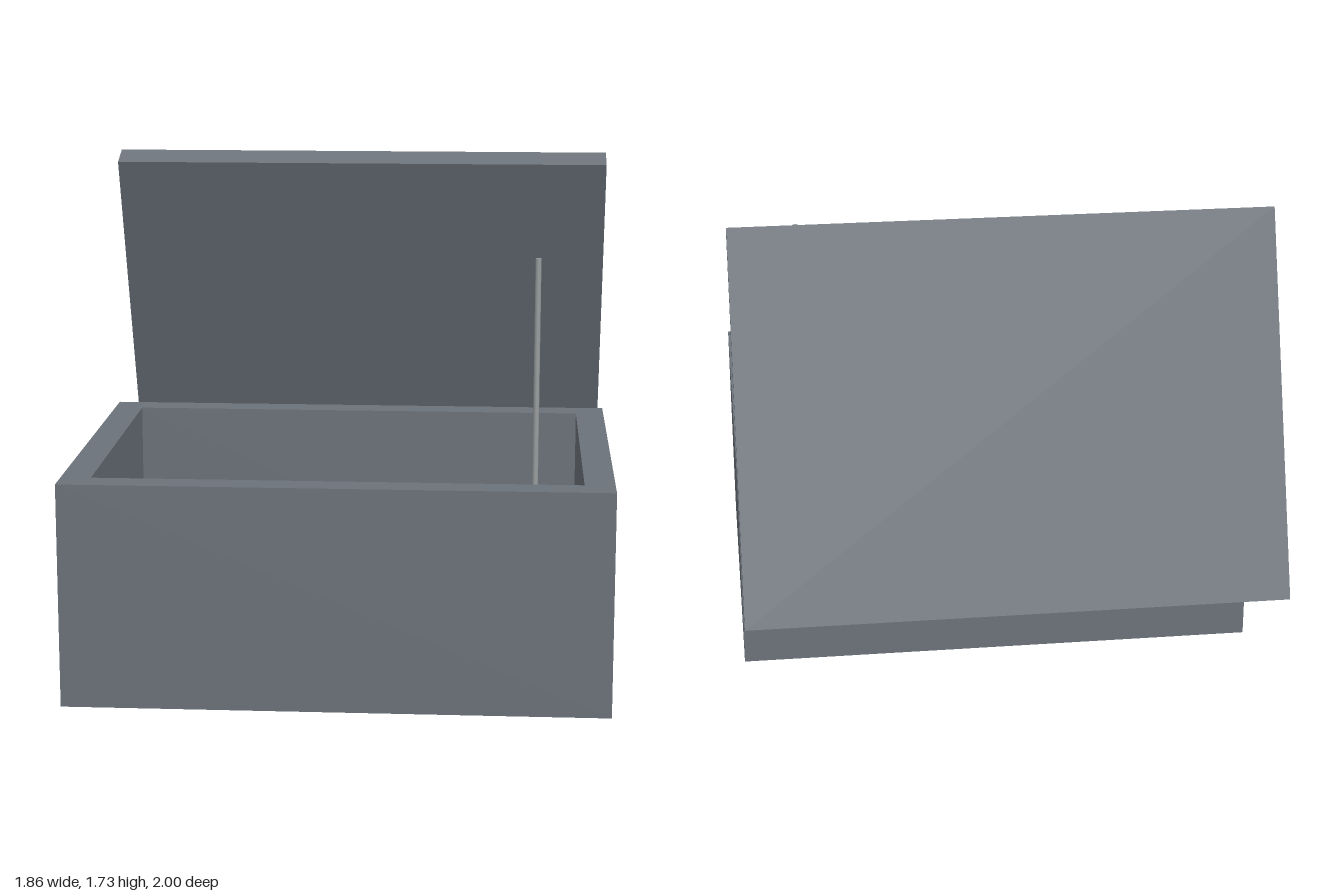
import * as THREE from 'three';

const paint = (color) => {
  const m = new THREE.MeshStandardMaterial();
  m.color.set(color);
  return m;
};

// Axis-aligned block given by its limits on each axis
function block(name, [x0, x1], [y0, y1], [z0, z1], material) {
  const mesh = new THREE.Mesh(new THREE.BoxGeometry(x1 - x0, y1 - y0, z1 - z0), material);
  mesh.position.set((x0 + x1) / 2, (y0 + y1) / 2, (z0 + z1) / 2);
  mesh.name = name;
  return mesh;
}

function rectangle(PathType, w, d) {
  return new PathType([[-w, -d], [w, -d], [w, d], [-w, d]].map(([x, y]) => new THREE.Vector2(x, y)));
}

export function createModel() {
  const model = new THREE.Group();
  model.name = 'openStorageBox';
  const slate = paint(0x6b727a);
  const W = 0.93, D = 0.672, H = 0.775, T = 0.103, Z = 0.328;

  // Crate: a rectangular ring of walls around a floor panel
  const crate = new THREE.Group();
  crate.name = 'crate';
  const ring = rectangle(THREE.Shape, W, D);
  ring.holes.push(rectangle(THREE.Path, W - T, D - T));
  const walls = new THREE.Mesh(
    new THREE.ExtrudeGeometry(ring, { depth: H, bevelEnabled: false }).rotateX(-Math.PI / 2), slate);
  walls.name = 'walls';
  walls.position.z = Z;
  crate.add(walls, block('floor', [-W + T, W - T], [0, T], [Z - D + T, Z + D - T], slate));
  model.add(crate);

  // Lid: leaning panel behind the crate
  const lid = new THREE.Mesh(new THREE.BoxGeometry(2 * W, 2 * D, T), slate);
  lid.name = 'lid';
  lid.position.set(0, 1.09, -0.707);
  lid.rotation.x = 0.371;
  model.add(lid);

  // Contents: dark pack with a red strap, and a red case with an antenna
  model.add(
    block('darkPack', [-0.777, -0.057], [T, 0.3], [-0.19, 0.842], paint(0x2d2c32)),
    block('redStrap', [-0.47, -0.365], [T, 0.31], [-0.192, 0.844], paint(0xc4302b)),
    block('redCase', [0.052, 0.775], [T, 0.565], [0.17, 0.478], paint(0xbc4c3c)),
  );
  const antenna = new THREE.Mesh(new THREE.CylinderGeometry(0.0105, 0.0105, 0.9, 8), paint(0x9a9fa0));
  antenna.name = 'antenna';
  antenna.position.set(0.67, 1.0, 0.325);
  model.add(antenna);

  return model;
}
